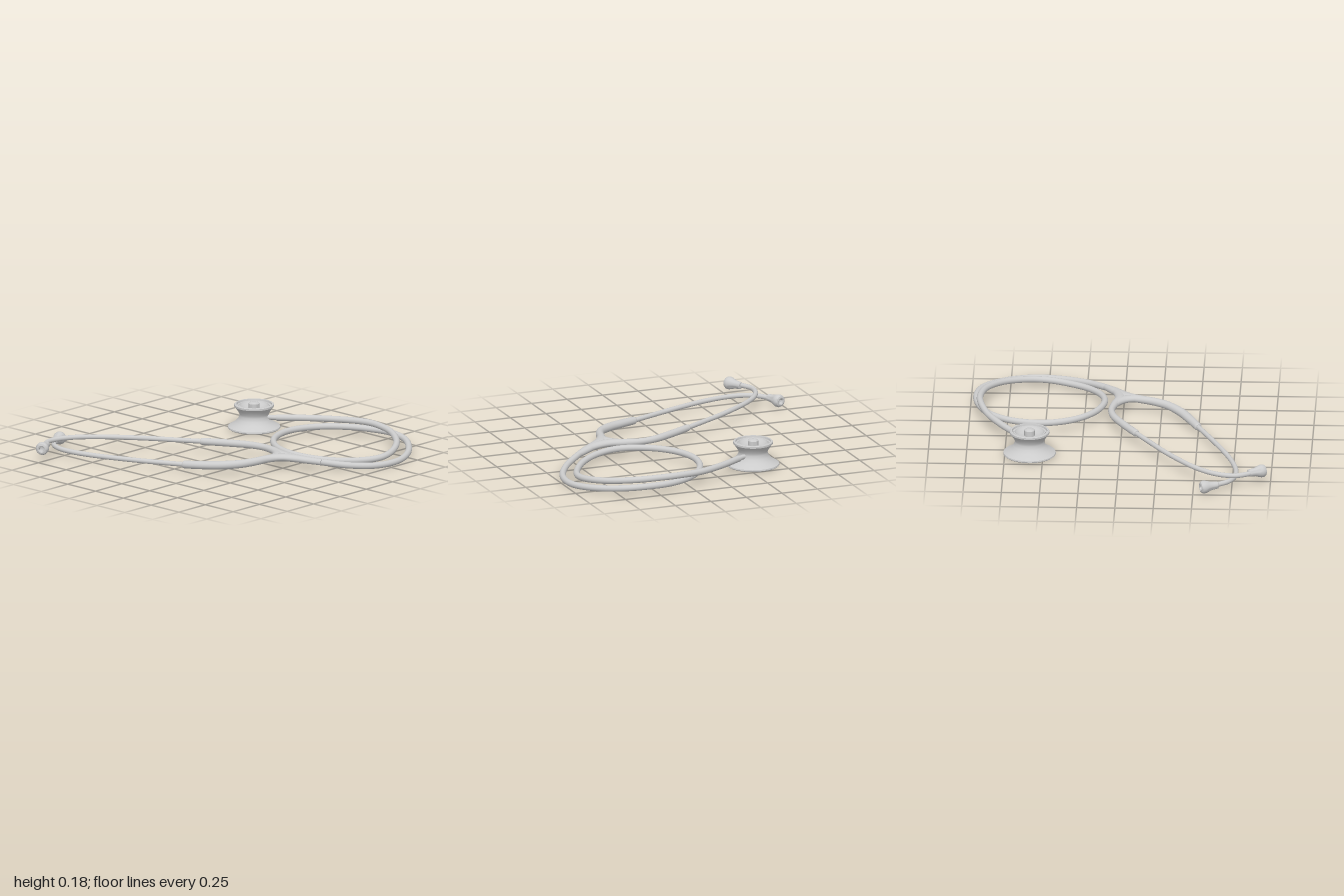
import * as THREE from 'three';
import { toCreasedNormals } from 'three/addons/utils/BufferGeometryUtils.js';

const material = new THREE.MeshStandardMaterial({ color: 0xcccccc });
const V = (x, y, z) => new THREE.Vector3(x, y, z);

// Sweep an elliptical section along a path; each point is [x, z, y, halfWidth, halfHeight]
function sweep(points, steps, radius = 0.021, sides = 16) {
  const path = new THREE.CatmullRomCurve3(points.map(([x, z, y]) => V(x, y, z)));
  const size = new THREE.CatmullRomCurve3(
    points.map((p, i) => V(p[3] ?? radius, p[4] ?? p[3] ?? radius, i * 0.1)));
  const pos = [], idx = [];
  const addRing = (t) => {
    const c = path.getPoint(t), T = path.getTangent(t), s = size.getPoint(t);
    const side = T.clone().cross(V(0, 1, 0)).normalize();
    const up = side.clone().cross(T);
    for (let j = 0; j < sides; j++) {
      const a = (j / sides) * Math.PI * 2;
      const p = c.clone().addScaledVector(side, Math.cos(a) * s.x).addScaledVector(up, Math.sin(a) * s.y);
      pos.push(p.x, p.y, p.z);
    }
    return c;
  };
  for (let i = 0; i <= steps; i++) addRing(i / steps);
  for (let i = 0; i < steps; i++) {
    for (let j = 0; j < sides; j++) {
      const k = (j + 1) % sides, a = i * sides, b = a + sides;
      idx.push(a + j, b + j, a + k, a + k, b + j, b + k);
    }
  }
  // Flat end caps with their own vertices
  for (const t of [0, 1]) {
    const start = pos.length / 3;
    const c = addRing(t);
    pos.push(c.x, c.y, c.z);
    for (let j = 0; j < sides; j++) {
      const p = start + j, q = start + (j + 1) % sides;
      idx.push(start + sides, t ? q : p, t ? p : q);
    }
  }
  const g = new THREE.BufferGeometry();
  g.setAttribute('position', new THREE.Float32BufferAttribute(pos, 3));
  g.setIndex(idx);
  g.computeVertexNormals();
  return g;
}

const lathe = (profile, segments) => toCreasedNormals(
  new THREE.LatheGeometry(profile.map(([r, y]) => new THREE.Vector2(r, y)), segments), 0.6);

export function createModel() {
  const model = new THREE.Group();
  model.name = 'stethoscope';
  const add = (name, geometry, parent = model) => {
    const mesh = new THREE.Mesh(geometry, material);
    mesh.name = name;
    parent.add(mesh);
    return mesh;
  };

  // Chestpiece: wide diaphragm below, waist, small bell with a knob on top
  const chest = new THREE.Group();
  chest.name = 'chestpiece';
  chest.position.set(-0.315, 0, -0.588);
  model.add(chest);
  add('chestpieceBody', lathe([
    [0, 0.01], [0.145, 0.01], [0.15, 0.001], [0.165, 0.001], [0.172, 0.007], [0.17, 0.016],
    [0.152, 0.026], [0.125, 0.043], [0.105, 0.065], [0.095, 0.088], [0.098, 0.105],
    [0.112, 0.127], [0.124, 0.144], [0.13, 0.15], [0.13, 0.162], [0.126, 0.166],
    [0.116, 0.166], [0.113, 0.154], [0.106, 0.152], [0.103, 0.159], [0.097, 0.159],
    [0.09, 0.148], [0.065, 0.137], [0.035, 0.132]], 48), chest);
  add('bellKnob', lathe([[0.035, 0.125], [0.035, 0.168], [0.03, 0.174], [0.018, 0.178], [0, 0.179]], 24), chest);
  add('chestpieceStem', sweep([[-0.24, -0.63, 0.08], [-0.19, -0.659, 0.081], [-0.13, -0.697, 0.083]], 4, 0.016));

  // Long hose: over the top, once round the inner loop, then round the outside
  add('hose', sweep([
    [-0.185, -0.663, 0.081], [-0.02, -0.78, 0.086], [0.165, -0.88, 0.092], [0.35, -0.931, 0.101],
    [0.46, -0.934, 0.101], [0.62, -0.897, 0.092], [0.78, -0.785, 0.072], [0.872, -0.63, 0.052],
    [0.887, -0.51, 0.043], [0.833, -0.37, 0.042], [0.727, -0.235, 0.05], [0.593, -0.148, 0.06],
    [0.45, -0.122, 0.068], [0.275, -0.175, 0.07], [0.14, -0.295, 0.07], [0.072, -0.45, 0.069],
    [0.07, -0.59, 0.067], [0.128, -0.745, 0.063], [0.245, -0.87, 0.059], [0.405, -0.944, 0.058],
    [0.565, -0.963, 0.06], [0.727, -0.923, 0.053], [0.875, -0.8, 0.037], [0.955, -0.665, 0.026],
    [0.977, -0.55, 0.022], [0.95, -0.4, 0.024], [0.86, -0.25, 0.038], [0.727, -0.123, 0.06]], 220));

  // Moulded yoke: two tapering arms from the hose, and a web between them
  const yoke = new THREE.Group();
  yoke.name = 'yoke';
  model.add(yoke);
  add('yokeRightArm', sweep([
    [0.727, -0.123, 0.06, 0.021], [0.6, -0.043, 0.075, 0.033, 0.024], [0.475, -0.022, 0.082, 0.036, 0.025],
    [0.37, -0.055, 0.083, 0.026, 0.024], [0.265, -0.072, 0.083, 0.022], [0.16, -0.054, 0.083, 0.023],
    [0.03, 0.008, 0.083, 0.024], [-0.13, 0.1, 0.083, 0.023], [-0.14, 0.106, 0.083, 0.019]], 64), yoke);
  add('yokeLeftArm', sweep([
    [0.727, -0.123, 0.06, 0.021], [0.61, -0.047, 0.074, 0.032, 0.024], [0.51, 0.025, 0.082, 0.042, 0.025],
    [0.468, 0.12, 0.081, 0.028, 0.025], [0.445, 0.2, 0.076, 0.026], [0.4, 0.29, 0.069, 0.027],
    [0.305, 0.38, 0.06, 0.03, 0.028], [0.2, 0.442, 0.053, 0.03, 0.027],
    [0.085, 0.498, 0.047, 0.025], [0.075, 0.503, 0.047, 0.02]], 64), yoke);
  add('yokeWeb', sweep([
    [0.33, -0.062, 0.083, 0.015, 0.018], [0.41, -0.03, 0.083, 0.025, 0.022], [0.465, 0.015, 0.083, 0.035, 0.024],
    [0.475, 0.085, 0.082, 0.025, 0.022], [0.461, 0.15, 0.079, 0.015, 0.018]], 24), yoke);

  // Metal ear tubes, crossing near the ends
  add('rightEarTube', sweep([
    [-0.11, 0.088, 0.083], [-0.27, 0.185, 0.083], [-0.45, 0.296, 0.083], [-0.6, 0.403, 0.083],
    [-0.72, 0.502, 0.083], [-0.805, 0.6, 0.083], [-0.85, 0.69, 0.083], [-0.86, 0.775, 0.083],
    [-0.832, 0.845, 0.083], [-0.785, 0.91, 0.083]], 60, 0.016));
  add('leftEarTube', sweep([
    [0.1, 0.49, 0.047], [-0.03, 0.55, 0.046], [-0.18, 0.616, 0.045], [-0.35, 0.685, 0.045],
    [-0.52, 0.742, 0.045], [-0.67, 0.772, 0.045], [-0.78, 0.768, 0.045], [-0.865, 0.73, 0.045],
    [-0.915, 0.67, 0.045], [-0.95, 0.6, 0.045]], 60, 0.016));

  // Flared ear tips with a hole in the end
  const tip = lathe([
    [0, 0], [0.018, 0], [0.024, 0.005], [0.026, 0.03], [0.028, 0.05], [0.036, 0.072], [0.042, 0.092],
    [0.042, 0.108], [0.035, 0.12], [0.024, 0.124], [0.017, 0.121], [0.014, 0.105], [0, 0.1]], 24);
  const placeTip = (name, base, direction) => {
    const mesh = add(name, tip);
    mesh.position.copy(base);
    mesh.quaternion.setFromUnitVectors(V(0, 1, 0), direction.normalize());
  };
  placeTip('rightEarTip', V(-0.814, 0.083, 0.855), V(0.055, 0, 0.105));
  placeTip('leftEarTip', V(-0.929, 0.045, 0.664), V(-0.042, -0.003, -0.11));
  return model;
}
